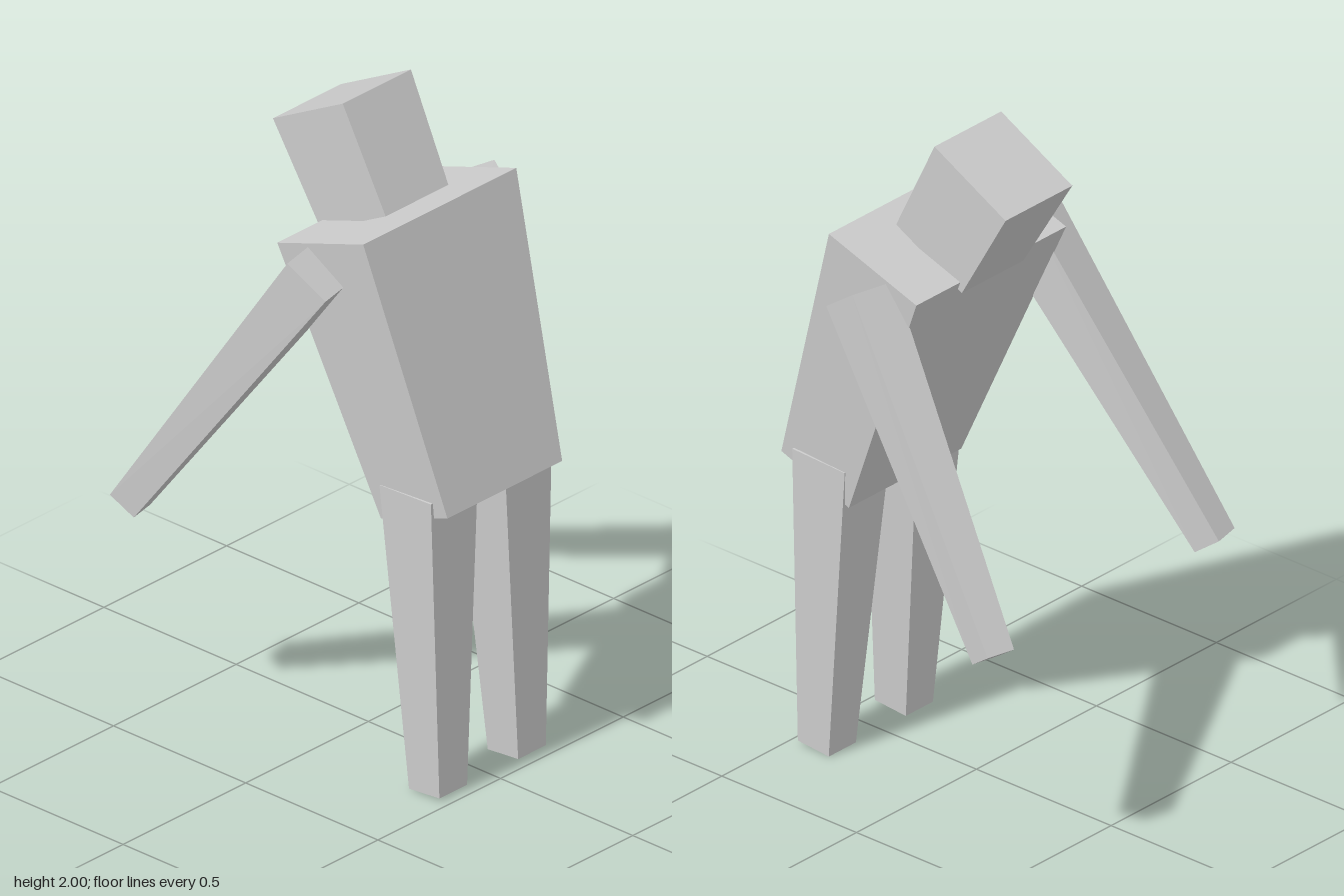
import * as THREE from 'three';

const grey = new THREE.MeshStandardMaterial({ color: 0xcccccc, flatShading: true });
grey.name = 'plain grey';

// Block whose corners are [x, y, z], named by height (T/B), depth (f/b) and side (o = +x, i = -x).
// side = -1 builds the mirror image.
function block(name, corners, side = 1) {
  const geometry = new THREE.BoxGeometry(1, 1, 1);
  const p = geometry.attributes.position;
  for (let i = 0; i < p.count; i++) {
    const key = (p.getY(i) > 0 ? 'T' : 'B') + (p.getZ(i) > 0 ? 'f' : 'b') + (p.getX(i) * side > 0 ? 'o' : 'i');
    const [x, y, z] = corners[key];
    p.setXYZ(i, x * side, y, z);
  }
  geometry.computeVertexNormals();
  const mesh = new THREE.Mesh(geometry, grey);
  mesh.name = name;
  return mesh;
}

// Corners from a side profile of [y, z] points and the x range at top and bottom.
function profile(topX, bottomX, Tf, Tb, Bf, Bb) {
  const corners = {};
  for (const [key, point] of Object.entries({ Tf, Tb, Bf, Bb })) {
    const [inner, outer] = key[0] === 'T' ? topX : bottomX;
    corners[key + 'i'] = [inner, ...point];
    corners[key + 'o'] = [outer, ...point];
  }
  return corners;
}

export function createModel() {
  const model = new THREE.Group();
  model.name = 'blockFigure';

  // Leaning torso and tilted head
  model.add(block('torso', profile([-0.312, 0.312], [-0.234, 0.234],
    [1.71, 0.27], [1.6, -0.055], [0.91, 0.516], [0.82, 0.265])));
  model.add(block('head', profile([-0.139, 0.139], [-0.128, 0.128],
    [2, 0.032], [1.86, -0.232], [1.697, 0.184], [1.568, -0.06])));

  // Tapered legs, and arms swung back and outward
  const leg = profile([0.056, 0.246], [0.104, 0.217],
    [0.94, 0.465], [0.932, 0.27], [0.01, 0.47], [0, 0.355]);
  const arm = {
    Tfo: [0.396, 1.54, 0.205], Tbo: [0.422, 1.627, 0.085],
    Tfi: [0.25, 1.54, 0.172], Tbi: [0.281, 1.627, 0.053],
    Bfo: [0.496, 0.677, -0.427], Bbo: [0.515, 0.73, -0.5],
    Bfi: [0.409, 0.677, -0.446], Bbi: [0.427, 0.73, -0.52],
  };
  for (const [label, side] of [['left', 1], ['right', -1]]) {
    model.add(block(label + 'Leg', leg, side));
    model.add(block(label + 'Arm', arm, side));
  }
  return model;
}
